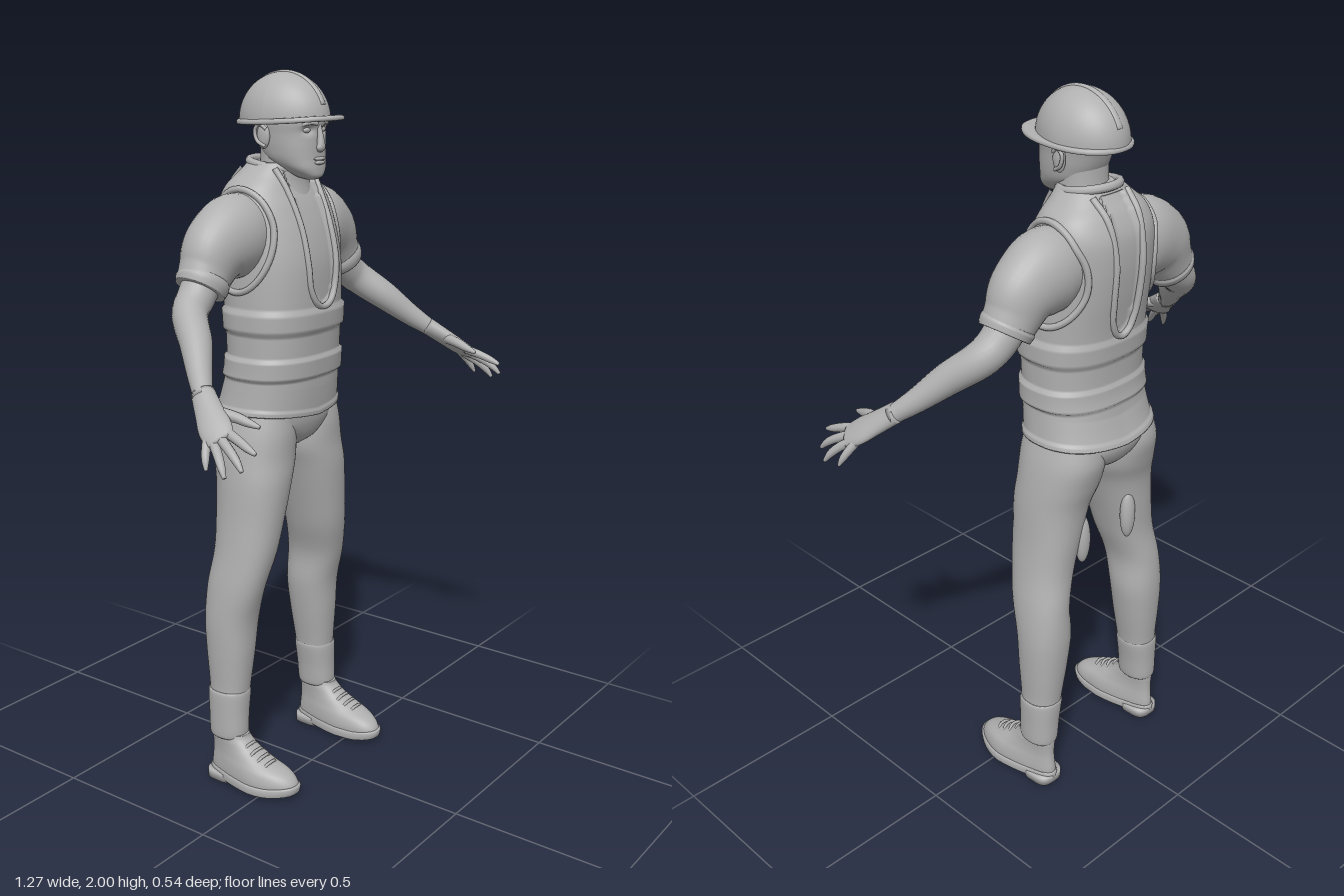
import * as THREE from 'three';

const grey = new THREE.MeshStandardMaterial({ color: 0xb0b0b0 });
grey.name = 'matte grey';
const V = (x, y, z) => new THREE.Vector3(x, y, z);

// Catmull-Rom interpolation of rows of numbers
function smooth(rows, steps) {
  const out = [], last = rows.length - 1, at = i => rows[Math.min(last, Math.max(0, i))];
  for (let i = 0; i < last; i++) for (let s = 0; s < steps; s++) {
    const t = s / steps;
    out.push(rows[i].map((p1, k) => {
      const p0 = at(i - 1)[k], p2 = at(i + 1)[k], p3 = at(i + 2)[k];
      return 0.5 * (2 * p1 + (p2 - p0) * t + (2 * p0 - 5 * p1 + 4 * p2 - p3) * t * t + (3 * p1 - p0 - 3 * p2 + p3) * t ** 3);
    }));
  }
  out.push(rows[last]);
  return out;
}

// Closed skin over rings { c, u, v }, where u x v points against the travel
function skin(rings, seg, n = 2) {
  const pos = [], idx = [], f = a => Math.sign(a) * Math.abs(a) ** (2 / n), R = rings.length;
  for (const { c, u, v } of rings) for (let j = 0; j < seg; j++) {
    const a = j / seg * Math.PI * 2;
    pos.push(...c.clone().addScaledVector(u, f(Math.cos(a))).addScaledVector(v, f(Math.sin(a))).toArray());
  }
  for (let i = 0; i < R - 1; i++) for (let j = 0; j < seg; j++) {
    const k = (j + 1) % seg, a = i * seg + j, b = i * seg + k, c = a + seg, d = b + seg;
    idx.push(a, c, b, b, c, d);
  }
  pos.push(...rings[0].c.toArray(), ...rings[R - 1].c.toArray());
  for (let j = 0; j < seg; j++) {
    const k = (j + 1) % seg, o = (R - 1) * seg;
    idx.push(R * seg, j, k, R * seg + 1, o + k, o + j);
  }
  const g = new THREE.BufferGeometry();
  g.setAttribute('position', new THREE.Float32BufferAttribute(pos, 3));
  g.setIndex(idx);
  g.computeVertexNormals();
  return g;
}

// Level sections, bottom to top: [y, x0, x1, zFront, zBack]
function stack(rows, { seg = 40, n = 2.2, steps = 5 } = {}) {
  return skin(smooth(rows, steps).map(([y, x0, x1, zf, zb]) => ({
    c: V((x0 + x1) / 2, y, (zf + zb) / 2), u: V((x1 - x0) / 2, 0, 0), v: V(0, 0, (zf - zb) / 2),
  })), seg, n);
}
const even = rows => rows.map(([y, rx, zf, zb]) => [y, -rx, rx, zf, zb]);

// Limb along a path: [x, y, z, radius across, radius along the width vector]
function limb(rows, width = null, seg = 24, steps = 5) {
  const p = smooth(rows, steps);
  return skin(p.map((r, i) => {
    const a = p[Math.max(0, i - 1)], b = p[Math.min(p.length - 1, i + 1)];
    const T = V(b[0] - a[0], b[1] - a[1], b[2] - a[2]).normalize();
    const v = width ? width.clone().addScaledVector(T, -width.dot(T)) : T.clone().cross(V(0, 1, 0));
    v.normalize();
    return { c: V(r[0], r[1], r[2]), u: T.clone().cross(v).multiplyScalar(r[3]), v: v.multiplyScalar(r[4] ?? r[3]) };
  }), seg);
}

function deform(g, rule) {
  const p = g.attributes.position, q = V(0, 0, 0);
  for (let i = 0; i < p.count; i++) { q.fromBufferAttribute(p, i); rule(q); p.setXYZ(i, q.x, q.y, q.z); }
  g.computeVertexNormals();
  return g;
}
const ball = (x, y, z, rx, ry, rz) => new THREE.SphereGeometry(1, 24, 16).scale(rx, ry, rz).translate(x, y, z);
const tube = (pts, r, closed = false, n = 60) =>
  new THREE.TubeGeometry(new THREE.CatmullRomCurve3(pts.map(p => V(...p)), closed), n, r, 8, closed);
function mirrored(g) {
  const m = g.clone().scale(-1, 1, 1), a = m.index.array;
  for (let i = 0; i < a.length; i += 3) [a[i], a[i + 1]] = [a[i + 1], a[i]];
  return m;
}

const N = 2.4;
const TORSO = [[1.095, .187, .02, -.265], [1.15, .18, .025, -.247], [1.22, .174, .03, -.23], [1.3, .174, .035, -.23],
  [1.4, .175, .04, -.238], [1.5, .173, .04, -.253], [1.58, .17, .025, -.26], [1.65, .166, 0, -.256],
  [1.7, .148, -.025, -.235], [1.735, .112, -.04, -.208], [1.765, .08, -.045, -.185]];
// Torso section at a height, then depth or width on its surface
function section(y) {
  let i = 0;
  while (i < TORSO.length - 2 && TORSO[i + 1][0] < y) i++;
  const a = TORSO[i], b = TORSO[i + 1], t = (y - a[0]) / (b[0] - a[0]);
  const [rx, zf, zb] = [1, 2, 3].map(k => a[k] + (b[k] - a[k]) * t);
  return { rx, c: (zf + zb) / 2, rz: (zf - zb) / 2 };
}
const round = t => Math.max(0, 1 - Math.min(1, Math.abs(t)) ** N) ** (1 / N);
const depthAt = (x, y, side) => { const s = section(y); return s.c + side * s.rz * round(x / s.rx); };
const widthAt = (y, z) => { const s = section(y); return s.rx * round((z - s.c) / s.rz); };

export function createModel() {
  const model = new THREE.Group();
  const add = (name, g, parent = model) => {
    const m = new THREE.Mesh(g, grey);
    m.name = name;
    parent.add(m);
    return m;
  };
  const pair = (name, g) => { add('left ' + name, g); add('right ' + name, mirrored(g)); };

  // Vest with raised belt bands, hem and a sunken neckline
  const half = (y, w) => y > 1.47 ? w : y < 1.39 ? -1 : w * Math.sqrt(1 - ((1.47 - y) / .08) ** 2);
  add('vest', deform(stack(even(TORSO), { seg: 112, n: N, steps: 12 }), q => {
    let k = 0;
    if ((q.y > 1.32 && q.y < 1.378) || (q.y > 1.19 && q.y < 1.25)) k = .05;
    if (q.y < 1.112) k = .025;
    q.x *= 1 + k;
    q.z = -.11 + (q.z + .11) * (1 + k);
    const front = q.z > -.11;
    if (Math.abs(q.x) < half(q.y, front ? .055 : .04) && q.y < 1.75) q.z += front ? -.01 : .01;
    if (q.y < 1.18) q.y -= .015 * (1 - Math.min(1, Math.abs(q.x) / .18));
  }));

  // Neckline trim, front and back
  for (const [side, w, name] of [[1, .062, 'front'], [-1, .047, 'back']]) {
    const right = [[w + .014, 1.75], [w + .008, 1.7], [w + .002, 1.6], [w, 1.5], [w * .86, 1.435], [w * .5, 1.397]];
    const path = [...right, [0, 1.385], ...right.slice().reverse().map(([x, y]) => [-x, y])];
    add(name + ' neckline trim', tube(path.map(([x, y]) => [x, y, depthAt(x, y, side)]), .009, false, 90));
  }
  // Collar
  add('collar', tube([...Array(16)].map((_, i) => {
    const a = i / 16 * Math.PI * 2;
    return [.076 * Math.cos(a), 1.757 - .012 * Math.sin(a), -.115 + .075 * Math.sin(a)];
  }), .012, true));
  // Armhole trim
  pair('armhole trim', tube([...Array(20)].map((_, i) => {
    const a = i / 20 * Math.PI * 2, y = 1.565 + .135 * Math.sin(a), z = -.125 + .105 * Math.cos(a);
    return [widthAt(y, z) + .002, y, z];
  }), .009, true, 80));

  // Arms
  pair('sleeve', limb([[.09, 1.58, -.13, .09, .085], [.17, 1.58, -.13, .112, .094], [.245, 1.548, -.132, .098, .083],
    [.285, 1.497, -.132, .077, .07], [.31, 1.458, -.13, .067, .066]], null, 32, 8));
  pair('sleeve cuff', limb([[.295, 1.481, -.131, .071, .068], [.302, 1.47, -.13, .074, .071], [.312, 1.455, -.13, .069, .067]], null, 32));
  pair('forearm', limb([[.28, 1.5, -.13, .055], [.33, 1.44, -.127, .05], [.375, 1.4, -.11, .047], [.425, 1.345, -.048, .042],
    [.48, 1.285, .01, .032], [.525, 1.24, .06, .024, .028]]));
  const spread = V(.6, -.43, -.68);
  pair('palm', limb([[.515, 1.25, .05, .025, .03], [.545, 1.215, .095, .022, .036], [.57, 1.185, .135, .018, .042],
    [.587, 1.165, .17, .011, .033]], spread));
  const fingers = {
    thumb: [[.538, 1.218, .095, .016], [.522, 1.208, .155, .014], [.515, 1.198, .19, .011], [.51, 1.19, .222, .005]],
    'index finger': [[.563, 1.183, .16, .013], [.572, 1.17, .205, .012], [.578, 1.157, .24, .01], [.58, 1.147, .265, .005]],
    'middle finger': [[.58, 1.172, .155, .013], [.597, 1.15, .2, .012], [.607, 1.13, .23, .01], [.613, 1.11, .25, .005]],
    'ring finger': [[.588, 1.165, .14, .013], [.61, 1.138, .175, .012], [.624, 1.115, .197, .01], [.632, 1.092, .213, .005]],
    'little finger': [[.588, 1.168, .125, .012], [.61, 1.14, .138, .011], [.622, 1.12, .147, .009], [.63, 1.1, .155, .004]],
  };
  for (const name in fingers) pair(name, limb(fingers[name], null, 12));

  // Trousers
  add('hips', stack(even([[.985, .03, -.05, -.17], [1.01, .09, -.015, -.225], [1.05, .165, .002, -.25],
    [1.09, .182, .008, -.252], [1.15, .17, .015, -.23]]), { n: 2.3 }));
  pair('trouser leg', stack([[.26, .154, .26, -.085, -.2], [.3, .15, .257, -.082, -.202], [.4, .133, .262, -.073, -.212],
    [.5, .12, .264, -.065, -.218], [.6, .12, .256, -.04, -.213], [.7, .09, .24, -.018, -.203], [.8, .062, .228, -.007, -.208],
    [.9, .032, .221, 0, -.216], [.97, .006, .213, -.002, -.235], [1.04, .006, .2, -.002, -.25], [1.1, .02, .182, -.01, -.24]]));
  pair('trouser cuff', stack([[.14, .172, .256, -.09, -.194], [.152, .167, .261, -.082, -.199], [.21, .161, .262, -.082, -.201],
    [.275, .151, .263, -.081, -.204], [.287, .155, .259, -.086, -.2]]));
  // Loose fold behind each thigh
  pair('thigh fold', ball(.092, .79, -.192, .024, .075, .02));

  // Shoes, narrower toward the heel
  const narrow = q => { q.x = .214 + (q.x - .214) * (q.z < -.03 ? 1 - .28 * Math.min(1, (-.03 - q.z) / .12) : 1); };
  const toeIn = q => { narrow(q); if (q.z > 0) q.x -= q.z * .1; };
  pair('shoe', deform(stack([[.02, .155, .273, .092, -.2], [.045, .153, .275, .094, -.2], [.07, .156, .272, .07, -.197],
    [.092, .162, .266, .015, -.195], [.115, .165, .263, -.035, -.195], [.14, .165, .263, -.068, -.196], [.155, .17, .258, -.075, -.192]]), toeIn));
  pair('sole', deform(stack([[.008, .152, .276, .09, -.2], [.012, .149, .28, .098, -.204], [.03, .149, .28, .102, -.205],
    [.035, .154, .275, .097, -.201]], { steps: 2 }), q => { toeIn(q); if (q.z > .03) q.y += (q.z - .03) * .12; }));
  pair('heel', deform(stack([[0, .152, .276, -.11, -.204], [.025, .152, .276, -.105, -.204]], { steps: 1, n: 3 }), narrow));
  for (let i = 0; i < 4; i++) {
    const y = .094 + i * .012, z = .014 - i * .024;
    pair('lace ' + (i + 1), tube([[.185, y - .012, z - .008], [.2, y, z - .002], [.214, y + .002, z], [.228, y, z - .002],
      [.243, y - .012, z - .008]], .0045, false, 12));
  }

  // Neck and head with sunken eye sockets
  add('neck', stack(even([[1.66, .085, -.02, -.19], [1.71, .073, -.03, -.165], [1.76, .068, -.03, -.153], [1.83, .068, -.04, -.15]])));
  add('head', deform(stack(even([[1.722, .018, .012, -.02], [1.73, .035, .025, -.045], [1.75, .058, .027, -.08], [1.775, .073, .025, -.13],
    [1.805, .08, .024, -.15], [1.84, .084, .023, -.163], [1.875, .087, .028, -.172], [1.92, .08, .015, -.165]]), { seg: 72, n: 2.3, steps: 8 }), q => {
    if (q.z > -.05) q.z -= .013 * Math.exp(-(((Math.abs(q.x) - .034) / .017) ** 2) - ((q.y - 1.851) / .011) ** 2);
  }));
  add('nose', limb([[0, 1.866, .018, .008, .008], [0, 1.84, .025, .009, .008], [0, 1.815, .029, .01, .012],
    [0, 1.803, .028, .01, .015], [0, 1.797, .022, .006, .008]], V(1, 0, 0)));
  pair('eye', ball(.034, 1.85, .006, .014, .008, .009));
  pair('brow', tube([[.014, 1.866, .027], [.034, 1.869, .022], [.055, 1.864, .008]], .005, false, 16));
  add('upper lip', ball(0, 1.776, .025, .026, .005, .007));
  add('lower lip', ball(0, 1.766, .025, .021, .006, .007));
  pair('ear', ball(.086, 1.835, -.095, .01, .034, .02).rotateX(0));
  pair('ear rim', tube([[.092, 1.808, -.085], [.096, 1.822, -.108], [.097, 1.85, -.115], [.096, 1.864, -.1], [.093, 1.852, -.08]], .005, false, 24));

  // Helmet: shell, brim and centre ridge
  const shell = new THREE.SphereGeometry(1, 48, 20, 0, Math.PI * 2, 0, Math.PI / 2).scale(.103, .125, .134).translate(0, 1.872, -.089);
  add('helmet shell', deform(shell, q => { q.x *= 1 - .09 * Math.max(0, q.z + .09) / .134; }));
  add('helmet brim', deform(stack(even([[1.866, .104, .072, -.221], [1.868, .109, .079, -.225], [1.876, .109, .079, -.225],
    [1.88, .103, .07, -.22]]), { seg: 64, n: 2.3, steps: 2 }), q => { q.y += .05 * (q.z + .09) - .35 * Math.max(0, q.x * q.x - .004); }));
  const ridge = [...Array(15)].map((_, i) => {
    const a = .35 + i / 14 * (Math.PI - .7);
    return [0, 1.872 + .124 * Math.sin(a), -.089 + .133 * Math.cos(a), .005, .009];
  });
  add('helmet ridge', limb(ridge, V(1, 0, 0), 12, 2));

  return model;
}
